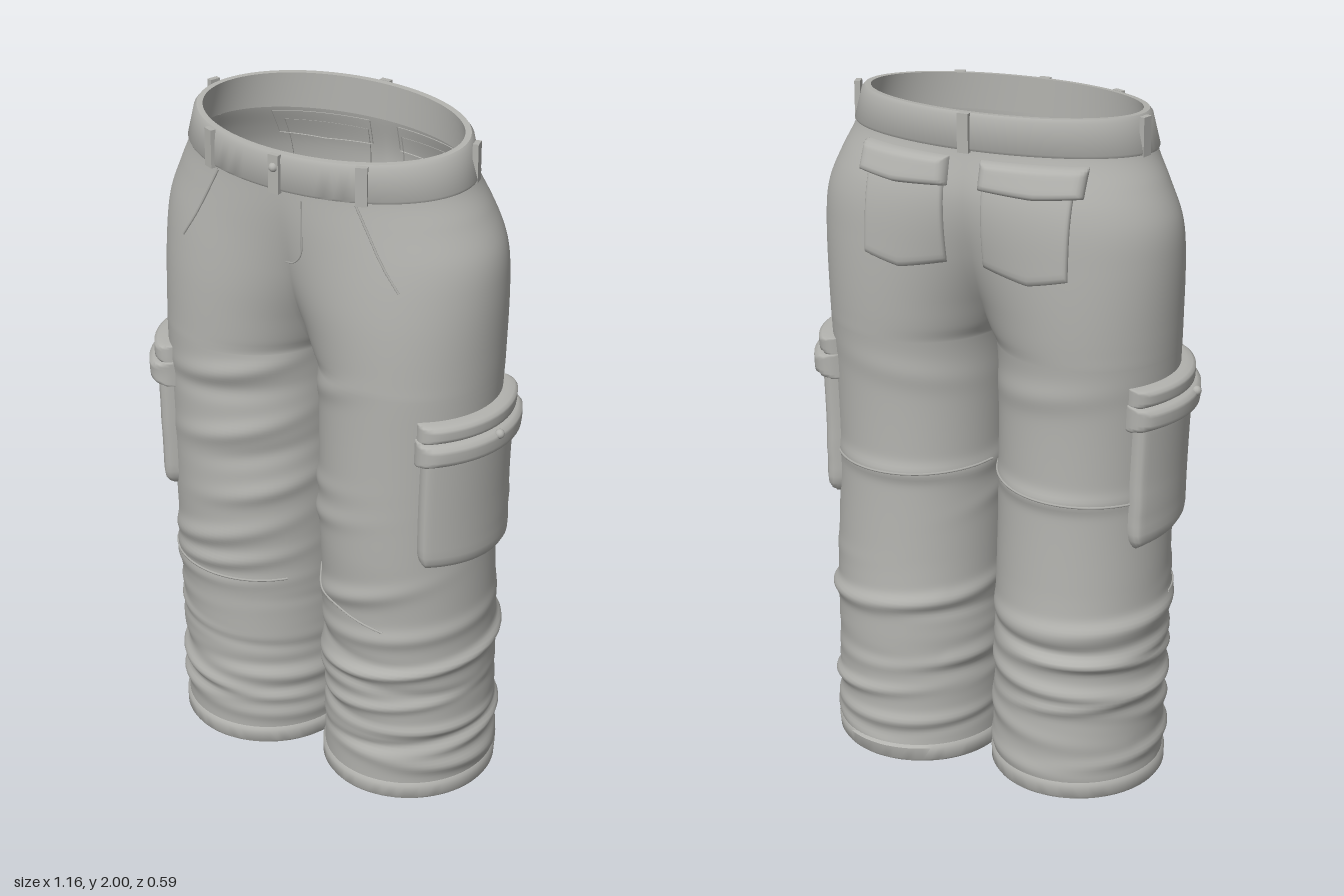
import * as THREE from 'three';
import { mergeVertices, mergeGeometries, toCreasedNormals } from 'three/addons/utils/BufferGeometryUtils.js';

const cloth = new THREE.MeshStandardMaterial({ color: 0xb2b2ae, side: THREE.DoubleSide });
cloth.name = 'greyCloth';
const RAD = Math.PI / 180, CROTCH = 1.32;

// profiles by height: [y, value]
const OUTER = [[0, .5], [.3, .503], [.6, .505], [.9, .502], [1.2, .512], [1.4, .52], [1.6, .525], [1.7, .515], [1.8, .475], [1.88, .437], [1.95, .42]];
const FRONT = [[0, .235], [.3, .24], [.6, .25], [.8, .265], [1.2, .268], [1.5, .27], [1.7, .265], [1.88, .27], [1.95, .27]];
const BACK = [[0, -.268], [.5, -.262], [.65, -.25], [.9, -.238], [1.2, -.235], [1.4, -.25], [1.6, -.26], [1.75, -.262], [1.88, -.235], [1.95, -.23]];
// 1 or more = separate legs, 0 = one oval
const SPLIT = [[0, 1.02], [1.2, 1.02], [CROTCH, 1], [1.36, .93], [1.45, .79], [1.6, .5], [1.75, .2], [1.87, 0], [1.95, 0]];

// smooth interpolation of a profile table
function sample(t, y) {
  let i = 0;
  while (i < t.length - 2 && y > t[i + 1][0]) i++;
  const m = j => {
    const a = t[Math.max(0, j - 1)], b = t[Math.min(t.length - 1, j + 1)];
    return (b[1] - a[1]) / (b[0] - a[0]);
  };
  const h = t[i + 1][0] - t[i][0], s = Math.min(1, Math.max(0, (y - t[i][0]) / h));
  return (1 + 2 * s) * (1 - s) ** 2 * t[i][1] + s * (1 - s) ** 2 * h * m(i)
    + s * s * (3 - 2 * s) * t[i + 1][1] + s * s * (s - 1) * h * m(i + 1);
}

// cloth folds: [side, height, angle, spread, slope, depth, width]; angle 0 outside, 90 front, 180 inside
const folds = [
  [-1, 1.27, 120, 50, .05, .014, .03], [-1, 1.2, 110, 55, .02, -.008, .03], [-1, 1.07, 110, 45, .06, .012, .03],
  [-1, 1.0, 130, 40, .04, -.008, .03], [-1, .88, 130, 40, .05, .012, .03], [-1, .7, 80, 60, .07, .014, .03],
  [-1, .62, 80, 60, .04, .014, .025], [1, 1.28, 130, 30, -.08, .012, .035], [1, .95, 160, 45, -.05, .01, .03],
  [1, .86, 150, 45, -.06, .012, .03], [1, .65, 110, 50, -.08, .014, .03], [-1, .92, -100, 60, 0, .01, .025],
  [1, .92, -100, 60, 0, .01, .025], [-1, 1.22, -110, 50, .03, .009, .04], [1, 1.22, -110, 50, .03, .006, .04],
];
let seed = 7;
const rand = () => (seed = (seed * 16807) % 2147483647) / 2147483647;
for (const side of [-1, 1]) for (let i = 0; i < 14; i++)
  folds.push([side, .09 + i * .035, rand() * 360 - 180, 60 + rand() * 70, (rand() - .5) * .07,
    (.009 + rand() * .007) * (i % 3 === 2 ? -.6 : 1), .016 + rand() * .012]);

function foldDepth(side, deg, y) {
  let d = 0;
  for (const [s, y0, a0, spread, slope, depth, w] of folds) {
    if (s !== side) continue;
    const da = (((deg - a0 + 540) % 360) + 360) % 360 - 180;
    const e = (y - y0 - slope * da / 60) / w, a = da / spread;
    if (Math.abs(e) < 4) d += depth * Math.exp(-e * e - a * a);
  }
  // calm the inside of the legs near the crotch
  const calm = THREE.MathUtils.smoothstep(y, 1.1, 1.3) * Math.abs(deg / 180) ** 4;
  return d * (1 - calm) * (1 - THREE.MathUtils.smoothstep(y, 1.32, 1.42)) * (1 - .5 * Math.abs(deg / 180) ** 6);
}

function section(y) {
  const k = sample(SPLIT, y), rx = sample(OUTER, y) / (1 + k);
  const f = sample(FRONT, y), b = sample(BACK, y);
  return { cx: k * rx, rx, zc: (f + b) / 2, rz: (f - b) / 2, limit: Math.acos(-Math.min(1, y <= CROTCH ? 1 : k)) / RAD };
}

// point on the trouser surface, pushed out by off
function point(side, deg, y, off = 0) {
  const c = section(y), ca = Math.cos(deg * RAD), sa = Math.sin(deg * RAD);
  const nx = ca / c.rx, nz = sa / c.rz, n = Math.hypot(nx, nz), d = off + foldDepth(side, deg, y);
  let x = c.cx + c.rx * ca + d * nx / n;
  if (Math.abs(deg) >= c.limit - 1e-6 && y >= CROTCH) x = 0;
  const z = c.zc + c.rz * sa + d * nz / n;
  return new THREE.Vector3(side * Math.max(0, x), y - .075 * z * THREE.MathUtils.smoothstep(y, 1.6, 1.88), z);
}

// grid surface from fn(u, v)
function grid(fn, nu, nv, flip = false) {
  const pos = [], idx = [];
  for (let j = 0; j <= nv; j++) for (let i = 0; i <= nu; i++) pos.push(...fn(i / nu, j / nv).toArray());
  for (let j = 0; j < nv; j++) for (let i = 0; i < nu; i++) {
    const a = j * (nu + 1) + i, r = a + 1, t = a + nu + 1, tr = t + 1;
    flip ? idx.push(a, r, t, r, tr, t) : idx.push(a, t, r, r, t, tr);
  }
  const g = new THREE.BufferGeometry();
  g.setAttribute('position', new THREE.Float32BufferAttribute(pos, 3));
  g.setIndex(idx);
  return g;
}
const smooth = g => { const m = mergeVertices(g, 1e-4); m.computeVertexNormals(); return m; };

// padded panel on the surface; map(u, v) gives [angle, height]
function panel(side, map, thick, bevel = .1, nu = 26, nv = 18) {
  const edge = t => t <= .001 ? 0 : t >= .999 ? 1 : t;
  return smooth(grid((u, v) => {
    // spend more rows at the rim
    const U = .5 - .5 * Math.cos(u * Math.PI), V = .5 - .5 * Math.cos(v * Math.PI);
    const e = Math.min(1, Math.min(edge(U), 1 - edge(U)) / (bevel * .5), Math.min(edge(V), 1 - edge(V)) / bevel);
    const [a, y] = map(U, V);
    return point(side, a, y, -.004 + (thick + .004) * Math.sqrt(1 - (1 - e) ** 2));
  }, nu, nv, side < 0));
}

export function createModel() {
  const model = new THREE.Group();
  const add = (name, geo) => {
    const m = new THREE.Mesh(geo, cloth);
    m.name = name;
    model.add(m);
    return m;
  };

  // body and both legs as one skin, rows packed near the crotch
  const rows = [];
  for (let i = 1; i <= 189; i++) rows.push(i / 100);
  rows.push(1.321, 1.323, 1.326, 1.335);
  rows.sort((a, b) => a - b);
  const halves = [-1, 1].map(side => grid((u, v) => {
    const y = rows[Math.round(v * (rows.length - 1))];
    return point(side, (u * 2 - 1) * section(y).limit, y);
  }, 84, rows.length - 1, side < 0));
  add('trouserBody', smooth(mergeGeometries(halves)));

  // waistband swept around the top
  const bandAt = (a, h, off) => {
    const z = .02 + (.253 + off) * Math.sin(a);
    return new THREE.Vector3((.432 - .28 * h + off) * Math.cos(a), 1.88 + h - .075 * z, z);
  };
  const bandProfile = [[0, -.014], [0, .006], [.008, .011], [.093, .011], [.104, .005], [.104, -.012], [0, -.014]];
  const band = grid((u, v) => bandAt(u * 2 * Math.PI, ...bandProfile[Math.round(v * 6)]), 96, 6);
  add('waistband', toCreasedNormals(smooth(band), .7));

  // belt loops
  for (const deg of [90, 56, 124, -10, 190, -90]) {
    const a = deg * RAD, lo = bandAt(a, .002, .014), hi = bandAt(a, .098, .014);
    const loop = add('beltLoop', new THREE.BoxGeometry(.032, .108, .016));
    loop.position.copy(lo).lerp(hi, .5);
    loop.rotation.y = Math.atan2(Math.cos(a) / .42, Math.sin(a) / .26);
  }
  const button = add('waistButton', new THREE.SphereGeometry(.013, 14, 10));
  button.position.copy(bandAt(Math.PI / 2, .07, .02));

  const seam = (name, side, pts, r = .0035) => add(name, new THREE.TubeGeometry(
    new THREE.CatmullRomCurve3(pts.map(([a, y]) => point(side, a, y, .001))), 48, r, 5));
  const line = (a0, a1, y0, y1) => Array.from({ length: 13 }, (_, i) =>
    [a0 + (a1 - a0) * i / 12, y0 + (y1 - y0) * i / 12]);
  const angleAt = (x, y, front) => {
    const c = section(y);
    return front * Math.acos(THREE.MathUtils.clamp((x - c.cx) / c.rx, -1, 1)) / RAD;
  };

  for (const side of [-1, 1]) {
    // hem with thickness
    const hemProfile = [[.055, -.016], [0, -.016], [0, .002], [.008, .007], [.045, .007], [.055, -.002]];
    add('hem', toCreasedNormals(smooth(grid((u, v) =>
      point(side, u * 360 - 180, ...hemProfile[Math.round(v * 5)]), 72, 5, side < 0)), .8));

    // cargo pocket, its top lip and flap
    add('cargoPocket', panel(side, (u, v) => {
      const trim = 5 * Math.max(0, 1 - v / .12) ** 2;
      return [-39 + trim + (90 - 2 * trim) * u, .79 + .41 * v + .03 * (.5 - u) * (v - 1)];
    }, .036, .1));
    add('cargoPocketLip', panel(side, (u, v) => [-43 + 97 * u, 1.205 + .058 * v], .042, .25, 26, 10));
    add('cargoPocketFlap', panel(side, (u, v) => [-44 + 99 * u, 1.138 + .076 * v], .06, .25, 26, 10));
    const stud = add('cargoPocketStud', new THREE.SphereGeometry(.014, 12, 8));
    stud.position.copy(point(side, 6, 1.2, .056));

    // back pocket and flap
    const onBack = (x0, x1, yb, yt, drop) => (u, v) => {
      const x = x1 + (x0 - x1) * (1 - u), y = yb + (yt - yb) * v + drop * Math.abs(u - .55) * (1 - v);
      return [angleAt(x, y, -1), y];
    };
    add('backPocket', panel(side, onBack(.055, .3, 1.55, 1.83, .05), .012, .08));
    add('backPocketFlap', panel(side, onBack(.045, .325, 1.775, 1.86, .02), .032, .2, 26, 12));

    // slanted front pocket opening
    seam('frontPocketSeam', side, [[.22, 1.87], [.26, 1.79], [.3, 1.71], [.35, 1.63]]
      .map(([x, y]) => [angleAt(x, y, 1), y]));
    // knee seams
    seam('frontKneeSeam', side, side < 0 ? line(5, 140, .58, .58) : line(75, 165, .575, .66));
    seam('backKneeSeam', side, line(-15, -165, .91, .93));
  }

  // curved fly stitching
  seam('flyStitching', 1, [[.07, 1.86], [.07, 1.76], [.065, 1.69], [.04, 1.655], [.004, 1.64]]
    .map(([x, y]) => [angleAt(x, y, 1), y]), .0025);

  return model;
}
